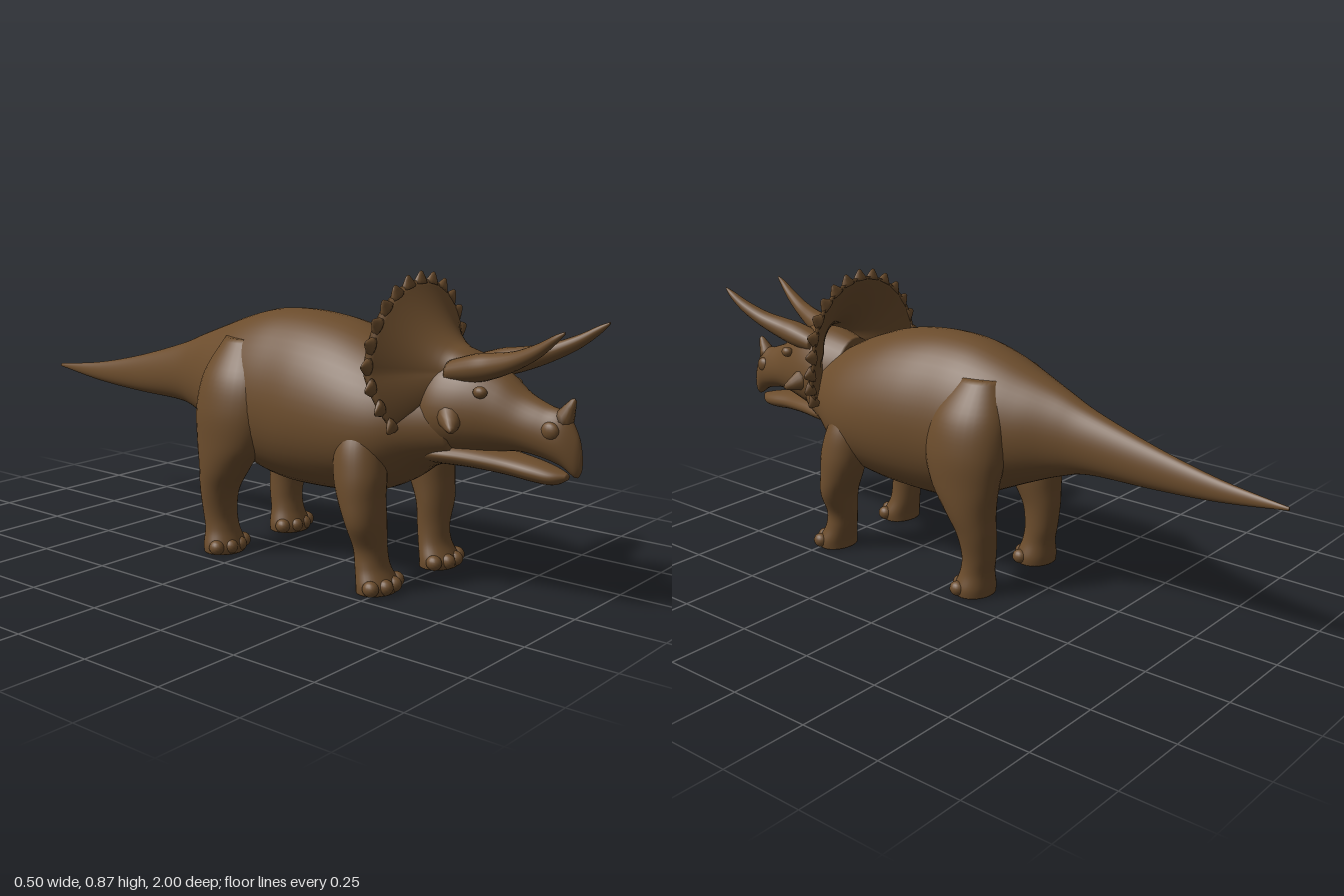
import * as THREE from 'three';

const hide = new THREE.MeshStandardMaterial({ color: 0x6b4c2c });
hide.name = 'brownHide';

function part(group, name, geo) {
  const mesh = new THREE.Mesh(geo, hide);
  mesh.name = name;
  group.add(mesh);
  return mesh;
}

// Closed vertex grid: rings of equal length, joined around, collapsed at both ends
function skin(rings, flip = false) {
  const n = rings[0].length, pos = [], idx = [];
  rings.forEach(r => r.forEach(p => pos.push(...p)));
  for (let i = 0; i < rings.length - 1; i++) {
    for (let j = 0; j < n; j++) {
      const a = i * n + j, b = i * n + (j + 1) % n, c = a + n, d = b + n;
      if (flip) idx.push(a, c, b, b, c, d);
      else idx.push(a, b, c, b, d, c);
    }
  }
  const g = new THREE.BufferGeometry();
  g.setAttribute('position', new THREE.Float32BufferAttribute(pos, 3));
  g.setIndex(idx);
  g.computeVertexNormals();
  return g;
}

// Smooth loft. Rows: [position on axis, centre x, other centre, radius x, other radius], ascending
function loft(rows, { axis = 'z', side = 1, taper = 0, n = 32, steps = 6 } = {}) {
  const at = i => rows[Math.min(rows.length - 1, Math.max(0, i))];
  const samples = [];
  for (let i = 0; i < rows.length - 1; i++) {
    for (let s = 0; s < steps; s++) {
      const t = s / steps;
      samples.push(rows[i].map((p1, k) => {
        const p0 = at(i - 1)[k], p2 = at(i + 1)[k], p3 = at(i + 2)[k];
        return p1 + 0.5 * t * (p2 - p0 + t * (2 * p0 - 5 * p1 + 4 * p2 - p3 + t * (3 * (p1 - p2) + p3 - p0)));
      }));
    }
  }
  samples.push(at(rows.length));
  const close = r => [r[0], r[1], r[2], 0, 0];
  const all = [close(samples[0]), ...samples, close(samples[samples.length - 1])];
  const rings = all.map(([p, cx, co, rx, ro]) => Array.from({ length: n }, (_, j) => {
    const a = j / n * Math.PI * 2, s = Math.sin(a);
    const x = side * cx + rx * Math.cos(a) * (1 - taper * s), o = co + ro * s;
    return axis === 'z' ? [x, o, p] : [x, p, o];
  }));
  return skin(rings, axis === 'y');
}

// Rows given as [z, top, bottom, half width]
const profile = rows => rows.map(([z, t, b, w]) => [z, 0, (t + b) / 2, w, (t - b) / 2]);

// Rounded spike from a base point to a tip
function spike(group, name, base, tip, radius, flat = 1) {
  const from = new THREE.Vector3(...base), dir = new THREE.Vector3(...tip).sub(from);
  const h = dir.length();
  const pts = [[0, 0], [1, 0], [0.8, 0.3], [0.5, 0.65], [0.25, 0.92], [0, 1]];
  const g = new THREE.LatheGeometry(pts.map(([r, y]) => new THREE.Vector2(r * radius, y * h)), 12);
  g.scale(1, 1, flat);
  const m = part(group, name, g);
  m.position.copy(from);
  m.quaternion.setFromUnitVectors(new THREE.Vector3(0, 1, 0), dir.normalize());
}

function blob(group, name, p, r) {
  const m = part(group, name, new THREE.SphereGeometry(1, 16, 12));
  m.position.set(...p);
  m.scale.set(...r);
}

// Dished neck shield: front face out to the rim, then back again behind
function frillPoint(a, t, back) {
  const c = Math.cos(a), s = Math.sin(a);
  const rimZ = 0.49 + 0.05 * Math.max(0, -s) / 0.6 + 0.01 * Math.max(0, s);
  const z = 0.7 + (rimZ - 0.7) * Math.sqrt(t) - (back ? 0.012 + 0.025 * (1 - t) : 0);
  return [c * (0.06 + 0.165 * t), 0.61 + s * (0.05 + 0.18 * t), z];
}
const FRILL_START = -0.66, FRILL_SWEEP = Math.PI - 2 * FRILL_START;

function frillGeometry() {
  const rings = [], m = 12, n = 72;
  for (let i = 0; i <= n; i++) {
    const a = FRILL_START + FRILL_SWEEP * i / n, ring = [];
    for (let k = 0; k <= m; k++) ring.push(frillPoint(a, k / m, false));
    for (let k = m; k >= 0; k--) ring.push(frillPoint(a, k / m, true));
    rings.push(ring);
  }
  // close the two lower ends
  const middle = r => r.map((_, k) => r[0].map((_, q) => (r[k][q] + r[r.length - 1 - k][q]) / 2));
  return skin([middle(rings[0]), ...rings, middle(rings[n])], false);
}

export function createModel() {
  const model = new THREE.Group();
  model.name = 'hornedDinosaur';

  // Trunk, neck and tail
  part(model, 'bodyAndTail', loft(profile([
    [-1, 0.448, 0.438, 0.005], [-0.8, 0.475, 0.412, 0.019], [-0.6, 0.52, 0.4, 0.035],
    [-0.4, 0.58, 0.395, 0.062], [-0.3, 0.62, 0.37, 0.09], [-0.2, 0.658, 0.33, 0.135],
    [-0.1, 0.695, 0.285, 0.175], [0, 0.722, 0.24, 0.195], [0.1, 0.73, 0.222, 0.205],
    [0.2, 0.725, 0.222, 0.215], [0.3, 0.708, 0.228, 0.217], [0.4, 0.675, 0.245, 0.21],
    [0.48, 0.64, 0.28, 0.19], [0.56, 0.6, 0.335, 0.15], [0.66, 0.57, 0.37, 0.1]
  ]), { taper: 0.12, n: 48 }));

  // Skull with beak, and lower jaw
  part(model, 'skull', loft(profile([
    [0.52, 0.64, 0.39, 0.1], [0.6, 0.66, 0.385, 0.12], [0.66, 0.66, 0.39, 0.118],
    [0.72, 0.65, 0.4, 0.104], [0.78, 0.618, 0.412, 0.085], [0.84, 0.575, 0.418, 0.066],
    [0.9, 0.55, 0.41, 0.052], [0.95, 0.535, 0.395, 0.04], [0.985, 0.485, 0.372, 0.022],
    [0.998, 0.44, 0.385, 0.008]
  ]), { taper: 0.15 }));
  part(model, 'lowerJaw', loft(profile([
    [0.52, 0.43, 0.35, 0.09], [0.6, 0.43, 0.355, 0.105], [0.7, 0.425, 0.357, 0.085],
    [0.8, 0.412, 0.352, 0.06], [0.88, 0.4, 0.344, 0.048], [0.93, 0.388, 0.345, 0.035],
    [0.962, 0.378, 0.362, 0.01]
  ])));
  spike(model, 'noseHorn', [0, 0.51, 0.94], [0, 0.575, 0.973], 0.03);

  // Frill and its scalloped edge
  part(model, 'frill', frillGeometry()).material.side = THREE.DoubleSide;
  for (let i = 0; i < 19; i++) {
    const a = FRILL_START + FRILL_SWEEP * i / 18;
    const [x, y, z] = frillPoint(a, 0.95, false);
    const c = Math.cos(a), s = Math.sin(a);
    spike(model, 'frillSpike', [x, y, z - 0.008], [x + c * 0.034, y + s * 0.034, z - 0.006], 0.027, 0.55);
  }

  for (const side of [1, -1]) {
    const label = side > 0 ? 'left' : 'right';
    // Brow horn and face details
    part(model, label + 'BrowHorn', loft([
      [0.64, 0.055, 0.615, 0.04, 0.03], [0.72, 0.062, 0.632, 0.042, 0.038],
      [0.78, 0.07, 0.645, 0.036, 0.034], [0.85, 0.086, 0.667, 0.028, 0.026],
      [0.92, 0.102, 0.7, 0.02, 0.02], [0.97, 0.112, 0.733, 0.012, 0.013],
      [1, 0.115, 0.754, 0.003, 0.004]
    ], { side, n: 20 }));
    spike(model, label + 'CheekHorn', [side * 0.085, 0.505, 0.66], [side * 0.15, 0.475, 0.705], 0.042);
    blob(model, label + 'Eye', [side * 0.088, 0.575, 0.75], [0.016, 0.016, 0.02]);
    blob(model, label + 'Nostril', [side * 0.036, 0.49, 0.925], [0.016, 0.024, 0.026]);

    // Front leg
    part(model, label + 'FrontLeg', loft([
      [0, 0.15, 0.478, 0.066, 0.052], [0.025, 0.15, 0.478, 0.067, 0.053],
      [0.07, 0.15, 0.462, 0.054, 0.046], [0.12, 0.152, 0.455, 0.051, 0.046],
      [0.19, 0.166, 0.45, 0.067, 0.052], [0.26, 0.167, 0.435, 0.07, 0.066],
      [0.33, 0.162, 0.425, 0.07, 0.076], [0.41, 0.148, 0.415, 0.065, 0.068],
      [0.5, 0.125, 0.41, 0.04, 0.04]
    ], { axis: 'y', side }));

    // Hind leg and thigh
    part(model, label + 'HindLeg', loft([
      [0, 0.15, -0.092, 0.066, 0.057], [0.025, 0.15, -0.092, 0.067, 0.058],
      [0.07, 0.15, -0.1, 0.054, 0.05], [0.12, 0.152, -0.107, 0.052, 0.051],
      [0.19, 0.158, -0.102, 0.058, 0.06], [0.26, 0.16, -0.08, 0.069, 0.082],
      [0.34, 0.158, -0.058, 0.076, 0.115], [0.44, 0.142, -0.05, 0.09, 0.135],
      [0.54, 0.115, -0.05, 0.09, 0.125], [0.64, 0.08, -0.06, 0.055, 0.07]
    ], { axis: 'y', side }));

    // Toes
    for (const z of [0.478, -0.092]) {
      for (const [k, dz] of [[-1.5, 0.022], [-0.5, 0.042], [0.5, 0.042], [1.5, 0.022]]) {
        blob(model, 'toe', [side * 0.15 + k * 0.039, 0.022, z + dz], [0.021, 0.022, 0.024]);
      }
    }
  }
  return model;
}
